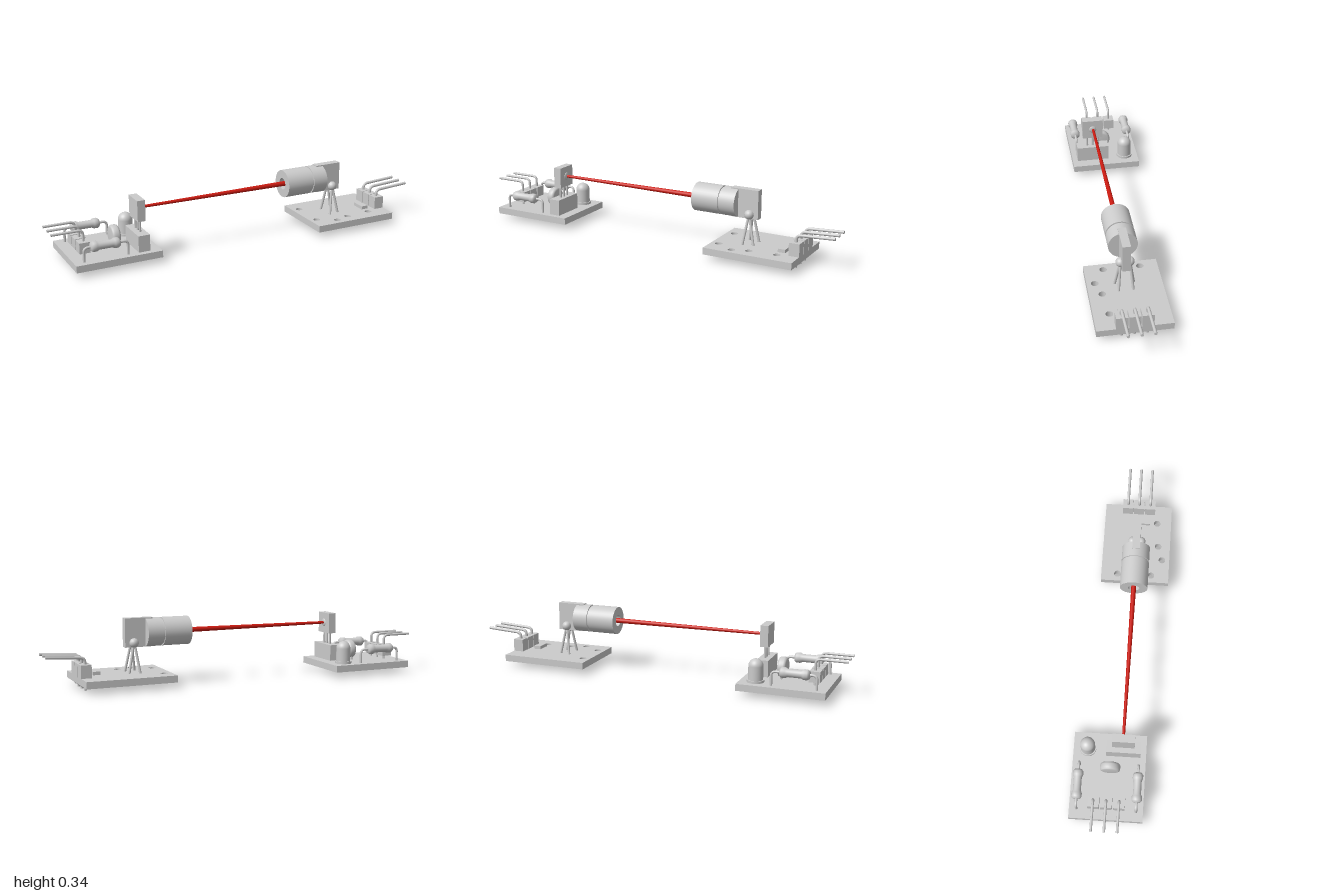
import * as THREE from 'three';

const grey = new THREE.MeshStandardMaterial({ color: 0xcccccc });
const red = new THREE.MeshStandardMaterial({ color: 0xcc1a10 });
const V = (x, y, z) => new THREE.Vector3(x, y, z);

function add(parent, name, geometry, x = 0, y = 0, z = 0, material = grey) {
  const mesh = new THREE.Mesh(geometry, material);
  mesh.name = name;
  mesh.position.set(x, y, z);
  parent.add(mesh);
  return mesh;
}

// box given by its minimum and maximum corners
function box(parent, name, x0, x1, y0, y1, z0, z1) {
  return add(parent, name, new THREE.BoxGeometry(x1 - x0, y1 - y0, z1 - z0),
    (x0 + x1) / 2, (y0 + y1) / 2, (z0 + z1) / 2);
}

// round bar between two points
function rod(parent, name, a, b, r0, r1 = r0, material = grey) {
  const dir = b.clone().sub(a);
  const mesh = add(parent, name, new THREE.CylinderGeometry(r1, r0, dir.length(), 14), 0, 0, 0, material);
  mesh.position.copy(a).lerp(b, 0.5);
  mesh.quaternion.setFromUnitVectors(V(0, 1, 0), dir.normalize());
  return mesh;
}

// wire through points with rounded corners, capped at both ends
function wire(parent, name, points, r, bend = 0.025) {
  const path = new THREE.CurvePath();
  let from = points[0];
  for (let i = 1; i < points.length - 1; i++) {
    const p = points[i];
    const a = p.clone().add(points[i - 1].clone().sub(p).setLength(bend));
    const b = p.clone().add(points[i + 1].clone().sub(p).setLength(bend));
    path.add(new THREE.LineCurve3(from, a));
    path.add(new THREE.QuadraticBezierCurve3(a, p, b));
    from = b;
  }
  path.add(new THREE.LineCurve3(from, points[points.length - 1]));
  add(parent, name, new THREE.TubeGeometry(path, 60, r, 10));
  for (const t of [0, 1]) {
    const cap = add(parent, name + 'End', new THREE.CircleGeometry(r, 10));
    cap.position.copy(path.getPoint(t));
    cap.quaternion.setFromUnitVectors(V(0, 0, 1), path.getTangent(t).multiplyScalar(t ? 1 : -1));
  }
}

// solder blob hanging below a board
function solder(parent, x, z, r, y = 0.031) {
  const blob = add(parent, 'solder', new THREE.SphereGeometry(r, 16, 10), x, y, z);
  blob.scale.y = 0.65;
}

// circuit board with round holes [x, z, radius]
function board(parent, x0, x1, z0, z1, holes = []) {
  const shape = new THREE.Shape([[x0, z0], [x1, z0], [x1, z1], [x0, z1]].map(p => new THREE.Vector2(...p)));
  for (const [x, z, r] of holes) shape.holes.push(new THREE.Path().absarc(x, z, r, 0, Math.PI * 2, true));
  const geometry = new THREE.ExtrudeGeometry(shape, { depth: 0.035, bevelEnabled: false, curveSegments: 20 });
  add(parent, 'board', geometry.rotateX(Math.PI / 2), 0, 0.066, 0);
}

// solid of revolution around the x axis; profile entries are [radius, x]
function turned(parent, name, profile, x, y, z, segments = 40) {
  // every straight piece is its own lathe so that edges stay sharp
  const group = new THREE.Group();
  group.name = name;
  for (let i = 1; i < profile.length; i++) {
    const pair = [profile[i - 1], profile[i]].map(p => new THREE.Vector2(...p));
    add(group, name + 'Surface', new THREE.LatheGeometry(pair, segments).rotateZ(-Math.PI / 2));
  }
  group.position.set(x, y, z);
  parent.add(group);
}

function laserModule() {
  const g = new THREE.Group();
  g.name = 'laserModule';
  board(g, 0.375, 0.835, -0.15, 0.215, [
    [0.415, -0.062, 0.018], [0.415, 0.12, 0.018], [0.51, 0.175, 0.018], [0.59, 0.15, 0.018], [0.73, 0.138, 0.018],
  ]);
  box(g, 'chip', 0.717, 0.755, 0.064, 0.083, 0.022, 0.097);

  // pin header
  for (const z of [0.095, 0.034, -0.027]) {
    box(g, 'headerBlock', 0.782, 0.836, 0.064, 0.131, z - 0.028, z + 0.028);
    wire(g, 'headerPin', [V(0.808, 0.003, z), V(0.808, 0.164, z), V(1, 0.175, z)], 0.0075);
    solder(g, 0.808, z, 0.024);
  }

  // laser barrel with groove and recessed mouth
  turned(g, 'laserBarrel', [[0, 0.04], [0.03, 0.04], [0.03, 0], [0.072, 0], [0.072, 0.143], [0.066, 0.143],
    [0.066, 0.152], [0.072, 0.152], [0.072, 0.232], [0, 0.232]].map(([r, x]) => [r, x]), 0.252, 0.265, 0.034);
  box(g, 'laserPlate', 0.445, 0.59, 0.194, 0.34, 0.014, 0.054);

  // wire legs, mirrored across the plate
  for (const s of [-1, 1]) {
    add(g, 'plateSolder', new THREE.SphereGeometry(0.024, 18, 12), 0.545, 0.216, 0.034 + s * 0.022);
    for (const [x, spread] of [[0.515, 0.055], [0.588, 0.04]]) {
      rod(g, 'leg', V(0.545, 0.222, 0.034 + s * 0.022), V(x, 0.012, 0.034 + s * spread), 0.0065);
      solder(g, x, 0.034 + s * spread, 0.022);
    }
  }
  return g;
}

function receiverModule() {
  const g = new THREE.Group();
  g.name = 'receiverModule';
  board(g, -0.92, -0.48, -0.22, 0.15);

  // pin header
  for (const z of [-0.098, -0.034, 0.03]) {
    box(g, 'headerBlock', -0.872, -0.817, 0.085, 0.14, z - 0.0285, z + 0.0285);
    wire(g, 'headerPin', [V(-0.842, 0.026, z), V(-0.842, 0.195, z), V(-1, 0.195, z)], 0.0065);
  }

  // resistors
  for (const z of [-0.183, 0.115]) {
    const y = 0.137;
    wire(g, 'resistorLead', [V(-0.87, 0.026, z), V(-0.87, y, z), V(-0.647, y, z), V(-0.647, 0.026, z)], 0.0065, 0.022);
    const profile = [[0, 0], [0.019, 0.002], [0.026, 0.012], [0.026, 0.03], [0.02, 0.042], [0.02, 0.108],
      [0.026, 0.12], [0.026, 0.138], [0.019, 0.148], [0, 0.15]].map(p => new THREE.Vector2(...p));
    add(g, 'resistorBody', new THREE.LatheGeometry(profile, 24).rotateZ(-Math.PI / 2), -0.837, y, z);
  }

  // disc capacitor standing on two leads
  const disc = [[0, 0], [0.04, 0], [0.047, 0.004], [0.051, 0.012], [0.051, 0.03], [0.047, 0.038], [0.04, 0.042], [0, 0.042]]
    .map(p => new THREE.Vector2(...p));
  add(g, 'discCapacitor', new THREE.LatheGeometry(disc, 36).rotateZ(-Math.PI / 2), -0.686, 0.121, -0.027);
  for (const z of [-0.055, 0.001]) rod(g, 'capacitorLead', V(-0.665, 0.026, z), V(-0.665, 0.1, z), 0.006);

  // indicator lamp: flange and domed body
  add(g, 'lampFlange', new THREE.CylinderGeometry(0.043, 0.043, 0.013, 32), -0.56, 0.0715, -0.147);
  add(g, 'lampBody', new THREE.CylinderGeometry(0.037, 0.037, 0.07, 32), -0.56, 0.111, -0.147);
  add(g, 'lampDome', new THREE.SphereGeometry(0.037, 32, 12, 0, Math.PI * 2, 0, Math.PI / 2), -0.56, 0.146, -0.147);
  for (const s of [-1, 1]) solder(g, -0.56, -0.147 + s * 0.02, 0.009);

  // socket, sensor and its three legs
  box(g, 'sensorSocket', -0.595, -0.535, 0.064, 0.15, -0.053, 0.122);
  box(g, 'sensor', -0.583, -0.542, 0.21, 0.318, -0.022, 0.09);
  for (const z of [0.004, 0.034, 0.064]) {
    rod(g, 'sensorLeg', V(-0.563, 0.14, z), V(-0.563, 0.22, z), 0.006);
    solder(g, -0.563, z, 0.009);
  }
  const lens = add(g, 'sensorLens', new THREE.SphereGeometry(0.02, 20, 12), -0.542, 0.265, 0.034);
  lens.scale.x = 0.3;
  return g;
}

export function createModel() {
  const model = new THREE.Group();
  model.name = 'laserAndReceiver';
  model.add(laserModule(), receiverModule());
  rod(model, 'laserBeam', V(0.29, 0.265, 0.034), V(-0.545, 0.265, 0.032), 0.013, 0.007, red);
  return model;
}
